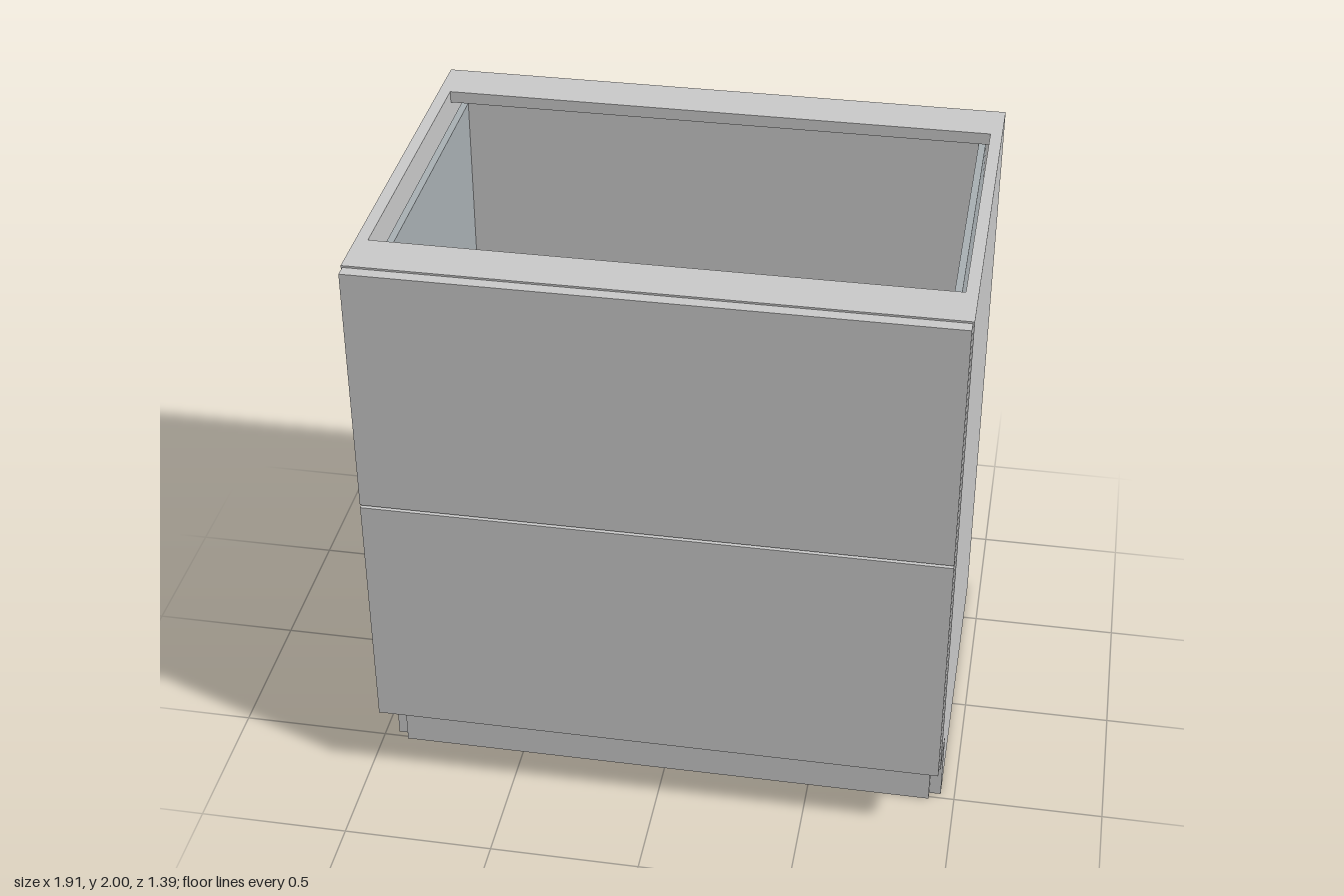
import * as THREE from 'three';

const grey = new THREE.MeshStandardMaterial({ color: 0xcccccc });
const metal = new THREE.MeshStandardMaterial({ color: 0xaab1b5 });

// Box given by its extents on each axis
function board(parent, name, [x0, x1], [y0, y1], [z0, z1], material = grey) {
  const mesh = new THREE.Mesh(new THREE.BoxGeometry(x1 - x0, y1 - y0, z1 - z0), material);
  mesh.position.set((x0 + x1) / 2, (y0 + y1) / 2, (z0 + z1) / 2);
  mesh.name = name;
  parent.add(mesh);
}

const W = 0.953, IN = 0.914, BACK = -0.695, FACE = 0.653, FRONT = 0.695;
const KICK = 0.265, TOP = 2, T = 0.04;

// Drawer: front panel and an open box with metal sides
function drawer(name, y0, y1, boxBottom, boxTop) {
  const g = new THREE.Group();
  g.name = name;
  const box = [boxBottom, boxTop], inner = [-0.875, 0.875];
  board(g, 'drawerFront', [-0.948, 0.948], [y0, y1], [FACE + 0.002, FRONT]);
  board(g, 'drawerSideRight', [-0.898, -0.875], box, [-0.645, FACE], metal);
  board(g, 'drawerSideLeft', [0.875, 0.898], box, [-0.645, FACE], metal);
  board(g, 'drawerBack', inner, box, [-0.645, -0.61]);
  board(g, 'drawerInnerFront', inner, box, [0.615, FACE]);
  board(g, 'drawerBottom', inner, [boxBottom, boxBottom + 0.03], [-0.61, 0.615]);
  return g;
}

export function createModel() {
  const model = new THREE.Group();
  model.name = 'drawerCabinet';

  // Side panels above, recessed plinth sides below
  for (const [side, a, b] of [['Left', IN, W], ['Right', -W, -IN]]) {
    board(model, 'sidePanel' + side, [a, b], [KICK, TOP], [BACK, FACE]);
    board(model, 'plinthSide' + side, [a, b], [0, KICK], [BACK, 0.48]);
  }

  // Back, floor and toe board
  board(model, 'backPanel', [-IN, IN], [0, TOP - T], [BACK, -0.663]);
  board(model, 'floorPanel', [-IN, IN], [KICK, KICK + T], [-0.663, FACE]);
  board(model, 'toeBoard', [-IN, IN], [0, KICK], [0.48, 0.51]);

  // Top rails
  board(model, 'backRail', [-IN, IN], [TOP - T, TOP], [BACK, -0.53]);
  board(model, 'frontRail', [-IN, IN], [TOP - T, TOP], [0.49, FACE]);

  // Two stacked drawers
  model.add(drawer('lowerDrawer', 0.272, 1.13, 0.35, 1.05));
  model.add(drawer('upperDrawer', 1.14, 1.995, 1.2, 1.92));

  return model;
}
